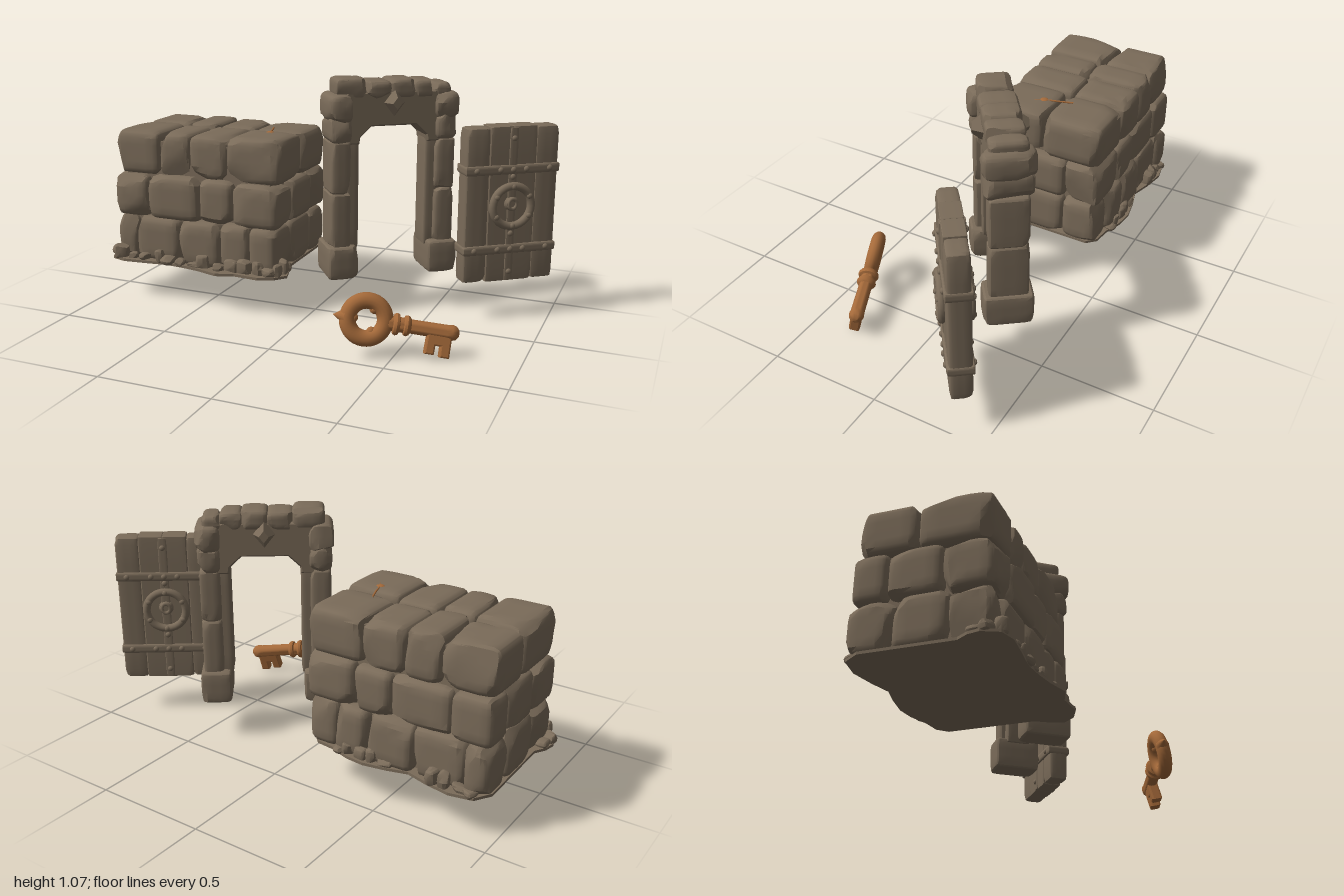
import * as THREE from 'three';
import { mergeVertices, toCreasedNormals } from 'three/addons/utils/BufferGeometryUtils.js';

const stoneMat = new THREE.MeshStandardMaterial({ color: 0x7a6b59 });
stoneMat.name = 'stone';
const copperMat = new THREE.MeshStandardMaterial({ color: 0xa56a3a });
copperMat.name = 'copper';

const GROUND = 0.176;

// seeded random numbers
let seed = 11;
function rnd(a = 0, b = 1) {
  seed = (seed * 16807) % 2147483647;
  return a + (b - a) * (seed / 2147483647);
}

const points = (list) => list.map((q) => new THREE.Vector2(...q));

function add(parent, name, geometry, material, x = 0, y = 0, z = 0) {
  const mesh = new THREE.Mesh(geometry, material);
  mesh.name = name;
  mesh.position.set(x, y, z);
  parent.add(mesh);
  return mesh;
}

function group(parent, name, x, y, z, turn = 0) {
  const g = new THREE.Group();
  g.name = name;
  g.position.set(x, y, z);
  g.rotation.y = turn;
  parent.add(g);
  return g;
}

// rounded block with chiselled corners: vertices are pulled back to random cutting planes
function stoneGeometry(w, h, d, r = 0.025, cuts = 9, n = 7) {
  let geo = new THREE.BoxGeometry(2, 2, 2, n, n, n);
  geo.deleteAttribute('normal');
  geo.deleteAttribute('uv');
  geo = mergeVertices(geo);
  const half = new THREE.Vector3(w / 2, h / 2, d / 2);
  r = Math.min(r, half.x, half.y, half.z);
  const inner = half.clone().subScalar(r);
  const planes = [];
  for (let i = 0; i < cuts; i++) {
    const s = new THREE.Vector3(rnd() < 0.5 ? -1 : 1, rnd() < 0.5 ? -1 : 1, rnd() < 0.5 ? -1 : 1);
    const dir = new THREE.Vector3(rnd(0.1, 1), rnd(0.1, 1), rnd(0.1, 1)).normalize();
    const reach = dir.dot(half) - r * rnd(0.6, 1.2);
    planes.push([dir.multiply(s), reach]);
  }
  const p = geo.attributes.position;
  const v = new THREE.Vector3();
  const c = new THREE.Vector3();
  for (let i = 0; i < p.count; i++) {
    v.fromBufferAttribute(p, i);
    v.set(Math.sin(v.x * 1.5708), Math.sin(v.y * 1.5708), Math.sin(v.z * 1.5708)).multiply(half);
    c.copy(v).clamp(inner.clone().negate(), inner);
    v.sub(c);
    if (v.lengthSq() > 0) v.setLength(r);
    v.add(c);
    for (const [dir, reach] of planes) {
      const over = v.dot(dir) - reach;
      if (over > 0) v.addScaledVector(dir, -over);
    }
    p.setXYZ(i, v.x, v.y, v.z);
  }
  return toCreasedNormals(geo, 0.45);
}

function stone(parent, name, x, y, z, w, h, d, r, cuts, n) {
  return add(parent, name, stoneGeometry(w, h, d, r, cuts, n), stoneMat, x, y, z);
}

// stacked block of masonry with a rubble skirt
function buildWall(root) {
  const wall = group(root, 'stoneWall', 0, 0, 0);
  add(wall, 'wallCore', new THREE.BoxGeometry(0.74, 0.56, 0.48), stoneMat, -0.55, 0.465, -0.15);
  const courses = [
    { y: GROUND, top: 0.395, x: [-0.965, -0.86, -0.63, -0.42, -0.27, -0.135], z: [-0.44, -0.25, -0.03, 0.146] },
    { y: 0.385, top: 0.592, x: [-0.968, -0.79, -0.525, -0.355, -0.13], z: [-0.44, -0.28, -0.06, 0.142] },
    { y: 0.585, top: 0.792, x: [-0.965, -0.735, -0.58, -0.39, -0.13], z: [-0.432, -0.165, 0.122] },
  ];
  for (const { y, top, x, z } of courses) {
    for (let i = 0; i < x.length - 1; i++) {
      for (let j = 0; j < z.length - 1; j++) {
        const edge = i === 0 || j === 0 || i === x.length - 2 || j === z.length - 2;
        if (!edge) continue;
        const shift = i % 2 ? 0.012 : -0.012;
        const z0 = z[j] + (j ? shift : rnd(-0.008, 0.012));
        const z1 = z[j + 1] + (j < z.length - 2 ? shift : rnd(-0.012, 0.004));
        const h = top - y + rnd(-0.01, 0.002);
        stone(wall, 'wallStone', (x[i] + x[i + 1]) / 2, y + h / 2, (z0 + z1) / 2,
          x[i + 1] - x[i] + 0.004, h, z1 - z0 + 0.004, 0.036, 14, 8);
      }
    }
  }
  // ragged ground slab
  const outline = points([[-1, 0.1], [-0.97, 0.17], [-0.9, 0.19], [-0.8, 0.18], [-0.68, 0.165], [-0.58, 0.175],
    [-0.5, 0.19], [-0.4, 0.22], [-0.32, 0.19], [-0.2, 0.2], [-0.13, 0.17], [-0.088, 0.12], [-0.11, 0.05], [-0.14, 0],
    [-0.14, -0.39], [-0.18, -0.43], [-0.26, -0.44], [-0.35, -0.47], [-0.43, -0.478], [-0.53, -0.46], [-0.62, -0.435],
    [-0.71, -0.46], [-0.82, -0.48], [-0.92, -0.46], [-0.965, -0.39], [-0.96, 0], [-0.99, 0.05]]);
  const slabShape = new THREE.Shape(outline.map((q) => new THREE.Vector2(q.x, -q.y)));
  const slab = new THREE.ExtrudeGeometry(slabShape, { depth: 0.012, bevelEnabled: false });
  add(wall, 'groundSlab', slab.rotateX(-Math.PI / 2), stoneMat, 0, GROUND, 0);
  // loose rubble along the front, the back and the front corners
  const runs = [
    [-0.96, 0.155, -0.13, 0.155, 13], [-0.93, -0.44, -0.71, -0.445, 4], [-0.53, -0.44, -0.27, -0.44, 5],
    [-0.965, 0.04, -0.965, 0.15, 2], [-0.13, 0.03, -0.13, 0.15, 3],
  ];
  for (const [x0, z0, x1, z1, count] of runs) {
    for (let i = 0; i < count; i++) {
      const t = (i + rnd(0.3, 0.7)) / count;
      const h = rnd(0.03, 0.08);
      const m = stone(wall, 'rubble', x0 + (x1 - x0) * t, GROUND + h / 2, z0 + (z1 - z0) * t,
        rnd(0.05, 0.085), h, rnd(0.045, 0.07), 0.022, 8, 4);
      m.rotation.y = rnd(-0.5, 0.5);
    }
  }
  // copper glint lodged in a crack on top
  const crack = new THREE.CatmullRomCurve3([[-0.305, 0.787, -0.22], [-0.28, 0.789, -0.15], [-0.265, 0.789, -0.1],
    [-0.24, 0.787, -0.06]].map((q) => new THREE.Vector3(...q)));
  add(wall, 'copperVein', new THREE.TubeGeometry(crack, 10, 0.004, 5), copperMat);
  add(wall, 'copperNugget', new THREE.SphereGeometry(0.02, 8, 6), copperMat, -0.265, 0.788, -0.095).scale.y = 0.35;
}

function buildArch(root) {
  const arch = group(root, 'archway', 0.28, 0, -0.175, 0.645);
  for (const s of [-1, 1]) {
    stone(arch, 'pillarBase', s * 0.232, GROUND + 0.075, 0, 0.138, 0.15, 0.212, 0.02, 9);
    stone(arch, 'pillarLower', s * 0.24, 0.44, 0, 0.092, 0.26, 0.168, 0.02, 10);
    stone(arch, 'pillarUpper', s * 0.24, 0.68, 0, 0.092, 0.24, 0.168, 0.02, 10);
    stone(arch, 'jamb', s * 0.185, 0.56, 0, 0.064, 0.52, 0.115, 0.012, 6);
    stone(arch, 'shoulderLower', s * 0.24, 0.85, 0, 0.1, 0.125, 0.2, 0.03, 12);
    stone(arch, 'shoulderUpper', s * 0.243, 0.94, 0, 0.11, 0.125, 0.218, 0.035, 12);
  }
  // lintel with sloped haunches under it
  const lintel = new THREE.Shape(points([[-0.22, 0.78], [-0.155, 0.78], [-0.15, 0.81], [-0.1, 0.857], [0.1, 0.857],
    [0.15, 0.81], [0.155, 0.78], [0.22, 0.78], [0.22, 1.01], [-0.22, 1.01]]));
  const cut = new THREE.ExtrudeGeometry(lintel, {
    depth: 0.12, bevelThickness: 0.012, bevelSize: 0.008, bevelOffset: -0.008, bevelSegments: 1 });
  add(arch, 'lintel', cut, stoneMat, 0, 0, -0.06);
  // capstones
  const caps = [[-0.19, 0.14, 1.07], [-0.07, 0.12, 1.055], [0.04, 0.12, 1.062], [0.14, 0.1, 1.055], [0.222, 0.085, 1.04]];
  for (const [x, w, top] of caps) {
    stone(arch, 'capstone', x, (top + 0.975) / 2, 0, w, top - 0.975, rnd(0.15, 0.17), 0.024, 10);
  }
  // blunt diamond ornament on both faces
  for (const s of [-1, 1]) {
    const gem = new THREE.CylinderGeometry(0.4, 1, 1, 4).toNonIndexed().rotateX(s * Math.PI / 2);
    gem.computeVertexNormals();
    add(arch, 'diamond', gem, stoneMat, 0, 0.96, s * 0.09).scale.set(0.052, 0.066, 0.05);
  }
}

function buildDoor(root) {
  const door = group(root, 'door', 0.8, 0, -0.27, 0.65);
  for (const s of [-1, 1]) {
    stone(door, 'outerPlank', s * 0.16, GROUND + 0.346, 0, 0.11, 0.692, 0.092, 0.016, 8);
    stone(door, 'innerPlank', s * 0.054, GROUND + 0.348, 0, 0.112, 0.696, 0.092, 0.008, 3);
  }
  for (const y of [0.325, 0.683]) stone(door, 'crossBand', 0, y, 0, 0.438, 0.042, 0.11, 0.008, 4);
  stone(door, 'centreStrap', 0, 0.522, 0, 0.04, 0.688, 0.102, 0.006, 3);
  const rivet = new THREE.SphereGeometry(0.013, 10, 8).scale(1, 1, 0.75);
  for (const turn of [0, Math.PI]) {
    const face = group(door, 'doorFace', 0, 0, 0, turn);
    for (const y of [0.325, 0.683]) {
      for (const x of [-0.17, -0.06, 0, 0.06, 0.17]) add(face, 'rivet', rivet, stoneMat, x, y, 0.055);
    }
    for (const y of [0.22, 0.395, 0.65, 0.82]) add(face, 'rivet', rivet, stoneMat, 0, y, 0.051);
    add(face, 'ringHandle', new THREE.TorusGeometry(0.09, 0.018, 10, 28), stoneMat, 0, 0.52, 0.054);
    for (let i = 0; i < 6; i++) {
      const a = ((i + 0.5) / 6) * Math.PI * 2;
      add(face, 'ringStud', rivet, stoneMat, 0.088 * Math.cos(a), 0.52 + 0.088 * Math.sin(a), 0.067);
    }
    // small lock boss inside the ring
    const plate = new THREE.CylinderGeometry(0.026, 0.034, 0.014, 18).rotateX(Math.PI / 2);
    add(face, 'lockPlate', plate, stoneMat, 0, 0.53, 0.053);
    const collar = add(face, 'lockCollar', new THREE.TorusGeometry(0.018, 0.007, 8, 18), stoneMat, 0, 0.53, 0.06);
    collar.scale.y = 1.25;
  }
}

function buildKey(root) {
  const key = group(root, 'key', 0.395, 0.16, 0.414);
  // shaft runs along local x, teeth along local -y
  const along = new THREE.Vector3(0.915, -0.16, -0.365).normalize();
  const side = along.clone().cross(new THREE.Vector3(0.05, 1, -0.28)).normalize();
  const up = side.clone().cross(along);
  key.quaternion.setFromRotationMatrix(new THREE.Matrix4().makeBasis(along, up, side));

  const bow = add(key, 'bow', new THREE.TorusGeometry(0.077, 0.034, 14, 36), copperMat);
  bow.scale.z = 0.9;
  for (let i = 0; i < 3; i++) {
    const a = Math.PI / 3 + (i * Math.PI * 2) / 3;
    add(key, 'bowLobe', new THREE.SphereGeometry(0.02, 12, 8), copperMat, 0.053 * Math.cos(a), 0.053 * Math.sin(a), 0);
  }
  add(key, 'bowPoint', new THREE.ConeGeometry(0.03, 0.045, 14).rotateZ(Math.PI / 2), copperMat, -0.115, 0, 0);
  // turned shaft with collars and a domed end
  const profile = points([[0, 0.085], [0.03, 0.09], [0.03, 0.108], [0.042, 0.112], [0.046, 0.122], [0.042, 0.132],
    [0.031, 0.136], [0.031, 0.152], [0.04, 0.156], [0.043, 0.166], [0.038, 0.176], [0.029, 0.182], [0.03, 0.33],
    [0.033, 0.35], [0.028, 0.368], [0.015, 0.379], [0, 0.382]]);
  const shaft = toCreasedNormals(new THREE.LatheGeometry(profile, 20), 0.7);
  add(key, 'shaft', shaft.rotateZ(-Math.PI / 2), copperMat);
  const bit = new THREE.Shape(points([[0.252, 0], [0.25, -0.098], [0.29, -0.098], [0.291, -0.06], [0.311, -0.06],
    [0.312, -0.104], [0.354, -0.104], [0.352, 0]]));
  const teeth = new THREE.ExtrudeGeometry(bit, {
    depth: 0.032, bevelThickness: 0.008, bevelSize: 0.007, bevelOffset: -0.007, bevelSegments: 2 });
  add(key, 'teeth', teeth, copperMat, 0, 0, -0.016);
}

export function createModel() {
  seed = 11;
  const root = new THREE.Group();
  root.name = 'dungeonSet';
  buildWall(root);
  buildArch(root);
  buildDoor(root);
  buildKey(root);
  return root;
}
